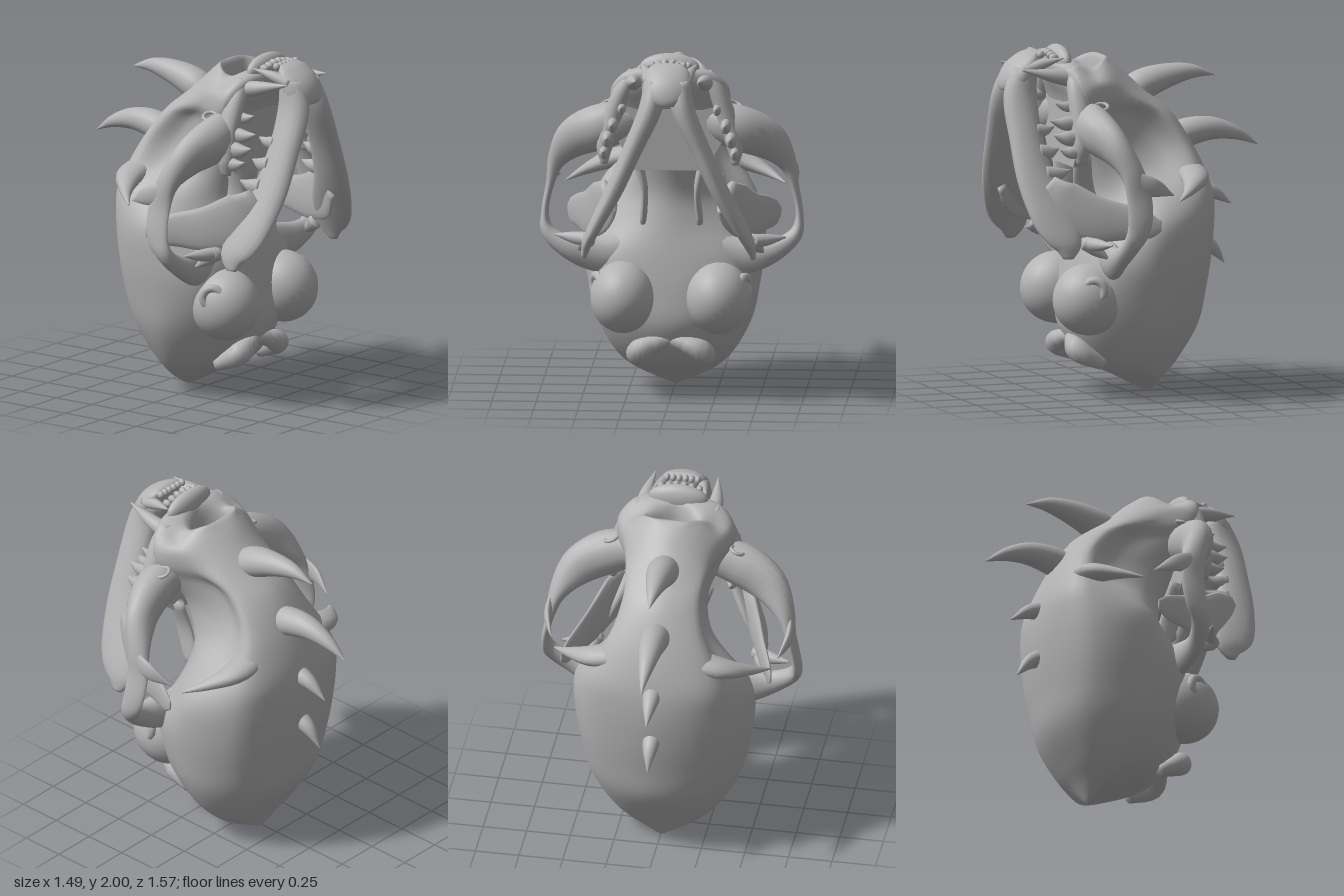
import * as THREE from 'three';

const bone = new THREE.MeshStandardMaterial({ color: 0xb4b4b4 });
bone.name = 'bone grey';
const V = (x, y, z) => new THREE.Vector3(x, y, z);

// Closed skin over a list of rings with equal point counts, capped at both ends
function skin(rings) {
  const n = rings[0].length, m = rings.length, pos = [], idx = [];
  rings.forEach(r => r.forEach(p => pos.push(p.x, p.y, p.z)));
  for (let i = 0; i < m - 1; i++) for (let j = 0; j < n; j++) {
    const a = i * n + j, b = i * n + (j + 1) % n;
    idx.push(a, a + n, b, b, a + n, b + n);
  }
  [0, m - 1].forEach((r, end) => {
    const c = V(0, 0, 0);
    rings[r].forEach(p => c.addScaledVector(p, 1 / n));
    const k = pos.length / 3;
    pos.push(c.x, c.y, c.z);
    for (let j = 0; j < n; j++) {
      const a = r * n + j, b = r * n + (j + 1) % n;
      if (end) idx.push(k, b, a); else idx.push(k, a, b);
    }
  });
  const g = new THREE.BufferGeometry();
  g.setAttribute('position', new THREE.Float32BufferAttribute(pos, 3));
  g.setIndex(idx);
  g.computeVertexNormals();
  return g;
}

// Oval sweep: rows of [x, y, z, half-size across, half-size along ref]
function sweep(rows, ref = V(0, 0, 1), sides = 16) {
  const path = new THREE.CatmullRomCurve3(rows.map(r => V(r[0], r[1], r[2])));
  const size = new THREE.CatmullRomCurve3(rows.map((r, i) => V(r[3], r[4] ?? r[3], i)));
  const rings = [], m = (rows.length - 1) * 5;
  for (let i = 0; i <= m; i++) {
    const c = path.getPoint(i / m), t = path.getTangent(i / m), s = size.getPoint(i / m);
    const u = ref.clone().cross(t).normalize(), v = t.clone().cross(u);
    rings.push(Array.from({ length: sides }, (_, j) => {
      const q = -j / sides * Math.PI * 2;
      return c.clone().addScaledVector(u, Math.max(s.x, 0.002) * Math.cos(q))
        .addScaledVector(v, Math.max(s.y, 0.002) * Math.sin(q));
    }));
  }
  return skin(rings);
}

function ellipsoid(x, y, z, rx, ry, rz, seg = 28) {
  return new THREE.SphereGeometry(1, seg, Math.ceil(seg * 0.7)).scale(rx, ry, rz).translate(x, y, z);
}

function mirrored(geo) {
  const g = geo.clone().scale(-1, 1, 1), a = g.index.array;
  for (let i = 0; i < a.length; i += 3) [a[i], a[i + 1]] = [a[i + 1], a[i]];
  g.computeVertexNormals();
  return g;
}

// Skull sections: y, back z, brow x z, side x z, base x z, front z
const sections = [
  [0.00, -0.14, 0.015, -0.135, 0.025, -0.125, 0.015, -0.11, -0.10],
  [0.10, -0.20, 0.15, -0.16, 0.225, -0.07, 0.14, 0.05, 0.09],
  [0.20, -0.27, 0.22, -0.21, 0.33, -0.02, 0.20, 0.21, 0.28],
  [0.40, -0.39, 0.30, -0.29, 0.44, 0.00, 0.29, 0.30, 0.40],
  [0.60, -0.43, 0.36, -0.31, 0.485, 0.02, 0.37, 0.30, 0.39],
  [0.80, -0.46, 0.39, -0.33, 0.51, 0.00, 0.39, 0.27, 0.35],
  [1.00, -0.47, 0.39, -0.35, 0.50, -0.02, 0.27, 0.22, 0.30],
  [1.15, -0.455, 0.37, -0.355, 0.41, -0.07, 0.20, 0.20, 0.28],
  [1.30, -0.41, 0.32, -0.31, 0.26, -0.10, 0.19, 0.22, 0.31],
  [1.45, -0.34, 0.25, -0.25, 0.19, -0.07, 0.20, 0.27, 0.36],
  [1.60, -0.24, 0.21, -0.14, 0.19, 0.04, 0.28, 0.34, 0.38],
  [1.70, -0.12, 0.20, -0.02, 0.265, 0.16, 0.33, 0.37, 0.41],
  [1.80, 0.00, 0.14, 0.05, 0.275, 0.22, 0.32, 0.40, 0.46],
  [1.90, 0.11, 0.11, 0.14, 0.22, 0.25, 0.23, 0.42, 0.475],
  [1.935, 0.17, 0.11, 0.18, 0.16, 0.25, 0.10, 0.34, 0.38],
  [1.76, 0.20, 0.08, 0.21, 0.11, 0.25, 0.06, 0.31, 0.33],
];

function skullGeometry() {
  const n = 48, rows = sections.map(([y, zb, x1, z1, x2, z2, x3, z3, zf]) => {
    const ring = new THREE.CatmullRomCurve3([V(0, y, zb), V(x1, y, z1), V(x2, y, z2), V(x3, y, z3),
      V(0, y, zf), V(-x3, y, z3), V(-x2, y, z2), V(-x1, y, z1)], true);
    return Array.from({ length: n }, (_, j) => ring.getPoint(j / n));
  });
  // Dip the sides of the nose opening
  rows.slice(-3).forEach(r => r.forEach(p => { p.y -= 0.06 * Math.exp(-(((p.z - 0.29) / 0.08) ** 2)); }));
  const cols = rows[0].map((_, j) => new THREE.CatmullRomCurve3(rows.map(r => r[j])));
  const m = (rows.length - 1) * 4;
  return skin(Array.from({ length: m + 1 }, (_, i) => cols.map(c => c.getPoint(i / m))));
}

export function createModel() {
  const model = new THREE.Group();
  const Y = V(0, 1, 0), X = V(1, 0, 0);
  const add = (name, geo) => {
    const mesh = new THREE.Mesh(geo, bone);
    mesh.name = name;
    model.add(mesh);
  };
  const pair = (name, geo) => { add('left' + name, geo); add('right' + name, mirrored(geo)); };

  add('cranium', skullGeometry());
  add('premaxilla', ellipsoid(0, 1.915, 0.42, 0.17, 0.083, 0.055));

  // Palate plate
  const palate = new THREE.Shape([[-0.2, 1.32], [0.2, 1.32], [0.33, 1.55], [0.27, 1.74], [-0.27, 1.74],
    [-0.33, 1.55]].map(p => new THREE.Vector2(...p)));
  add('palate', new THREE.ExtrudeGeometry(palate, { depth: 0.06, bevelEnabled: false }).translate(0, 0, 0.34));

  // Cheek arches, brow processes and tooth-bearing edges
  pair('CheekArch', sweep([[0.14, 1.62, 0.3, 0.08, 0.06], [0.36, 1.565, 0.34, 0.13, 0.11],
    [0.54, 1.48, 0.285, 0.115, 0.085], [0.65, 1.34, 0.21, 0.055, 0.07], [0.69, 1.2, 0.18, 0.025, 0.075],
    [0.72, 1.03, 0.19, 0.022, 0.07], [0.70, 0.93, 0.23, 0.04, 0.055], [0.58, 0.84, 0.26, 0.065, 0.05],
    [0.42, 0.80, 0.24, 0.10, 0.06], [0.25, 0.82, 0.22, 0.11, 0.08]]));
  pair('CheekProcess', sweep([[0.685, 1.28, 0.2, 0.02, 0.07], [0.69, 1.25, 0.08, 0.02, 0.05],
    [0.65, 1.2, -0.04, 0.003, 0.003]], Y));
  pair('BrowProcess', sweep([[0.08, 1.31, -0.24, 0.07, 0.05], [0.34, 1.26, -0.275, 0.085, 0.055],
    [0.51, 1.205, -0.19, 0.037, 0.03], [0.62, 1.16, -0.09, 0.004, 0.004]], Y));
  pair('Maxilla', sweep([[0.2, 1.88, 0.4, 0.04, 0.04], [0.27, 1.77, 0.4, 0.05, 0.06],
    [0.33, 1.6, 0.4, 0.055, 0.06], [0.37, 1.45, 0.41, 0.045, 0.05], [0.37, 1.36, 0.41, 0.02, 0.03]]));
  pair('Foramen', new THREE.TorusGeometry(0.038, 0.01, 10, 24).rotateX(-1.4).rotateZ(-0.4)
    .translate(0.36, 1.68, 0.29));

  // Underside: pterygoid plates, ear capsules and neck condyles
  pair('Pterygoid', sweep([[0.19, 1.38, 0.34, 0.03, 0.05], [0.15, 1.2, 0.32, 0.02, 0.06],
    [0.16, 1.0, 0.25, 0.02, 0.05]]));
  pair('EarCapsule', ellipsoid(0.27, 0.575, 0.33, 0.185, 0.205, 0.21));
  pair('EarCanal', new THREE.TorusGeometry(0.055, 0.025, 12, 28).rotateY(1.1).translate(0.415, 0.645, 0.35));
  pair('NeckCondyle', sweep([[0.2, 0.19, 0.22, 0.035], [0.18, 0.27, 0.36, 0.065],
    [0.09, 0.31, 0.36, 0.05], [0, 0.335, 0.33, 0.04]], X));

  // Lower jaw
  add('chin', sweep([[0, 1.965, 0.575, 0.08, 0.015], [0, 1.93, 0.6, 0.12, 0.05], [0, 1.85, 0.655, 0.14, 0.085],
    [0, 1.78, 0.685, 0.13, 0.088], [0, 1.745, 0.69, 0.07, 0.075]], V(0, 0, 1), 24));
  pair('JawBody', sweep([[0.06, 1.87, 0.645, 0.07, 0.075], [0.095, 1.72, 0.68, 0.065, 0.1],
    [0.19, 1.5, 0.68, 0.055, 0.1], [0.3, 1.25, 0.65, 0.05, 0.115], [0.4, 1.05, 0.58, 0.04, 0.13],
    [0.46, 0.92, 0.53, 0.03, 0.09], [0.48, 0.84, 0.53, 0.015, 0.03]]));
  pair('JawRamus', sweep([[0.325, 1.22, 0.62, 0.03, 0.1], [0.39, 1.13, 0.53, 0.03, 0.15],
    [0.47, 1.06, 0.36, 0.025, 0.13], [0.53, 1.04, 0.19, 0.022, 0.1], [0.58, 1.02, 0.07, 0.015, 0.07],
    [0.6, 1.02, 0.015, 0.006, 0.03]], Y));
  pair('JawCondyle', sweep([[0.44, 0.92, 0.42, 0.04], [0.54, 0.92, 0.37, 0.035],
    [0.65, 0.93, 0.33, 0.006]]));
  pair('JawHook', sweep([[0.46, 0.93, 0.43, 0.04], [0.49, 0.88, 0.36, 0.035], [0.52, 0.84, 0.31, 0.008]]));

  // Canines
  pair('UpperCanine', sweep([[0.2, 1.82, 0.38, 0.05], [0.2, 1.85, 0.53, 0.038], [0.18, 1.885, 0.7, 0.003]], Y));
  pair('LowerCanine', sweep([[0.1, 1.87, 0.66, 0.035], [0.12, 1.905, 0.56, 0.03], [0.155, 1.94, 0.44, 0.003]], Y));

  // Incisors
  [0.023, 0.066, 0.11].forEach((x, i) => {
    pair('UpperIncisor' + i, ellipsoid(x, 1.955 - i * 0.008, 0.485, 0.02, 0.022, 0.028, 12));
    pair('LowerIncisor' + i, ellipsoid(x * 0.8, 1.955, 0.555, 0.017, 0.022, 0.022, 12));
  });

  // Cheek teeth: x, y, root z, tip z, radius
  [[0.27, 1.68, 0.42, 0.53, 0.035], [0.32, 1.59, 0.43, 0.58, 0.045], [0.35, 1.51, 0.43, 0.57, 0.05],
    [0.37, 1.43, 0.43, 0.54, 0.04], [0.19, 1.54, 0.62, 0.51, 0.04], [0.24, 1.42, 0.62, 0.5, 0.05],
    [0.29, 1.3, 0.6, 0.45, 0.05]].forEach(([x, y, z0, z1, r], i) =>
    pair('CheekTooth' + i, sweep([[x, y, z0, r * 0.7, r], [x, y, (z0 + z1) / 2, r * 0.6, r * 0.8],
      [x, y + 0.02, z1, 0.004]], Y, 10)));

  // Horns along the crown
  [[[0, 1.68, 0.02, 0.08], [0, 1.74, -0.08, 0.09], [0, 1.785, -0.22, 0.072], [0, 1.805, -0.38, 0.042], [0, 1.78, -0.52, 0.002]],
    [[0, 1.42, -0.25, 0.085], [0, 1.46, -0.36, 0.082], [0, 1.475, -0.5, 0.066], [0, 1.44, -0.65, 0.038], [0, 1.37, -0.78, 0.002]],
    [[0, 1.14, -0.41, 0.055], [0, 1.11, -0.51, 0.04], [0, 1.04, -0.62, 0.002]],
    [[0, 0.85, -0.41, 0.055], [0, 0.8, -0.5, 0.04], [0, 0.705, -0.58, 0.002]],
  ].forEach((rows, i) => add('horn' + (i + 1), sweep(rows, X, 20)));

  return model;
}
